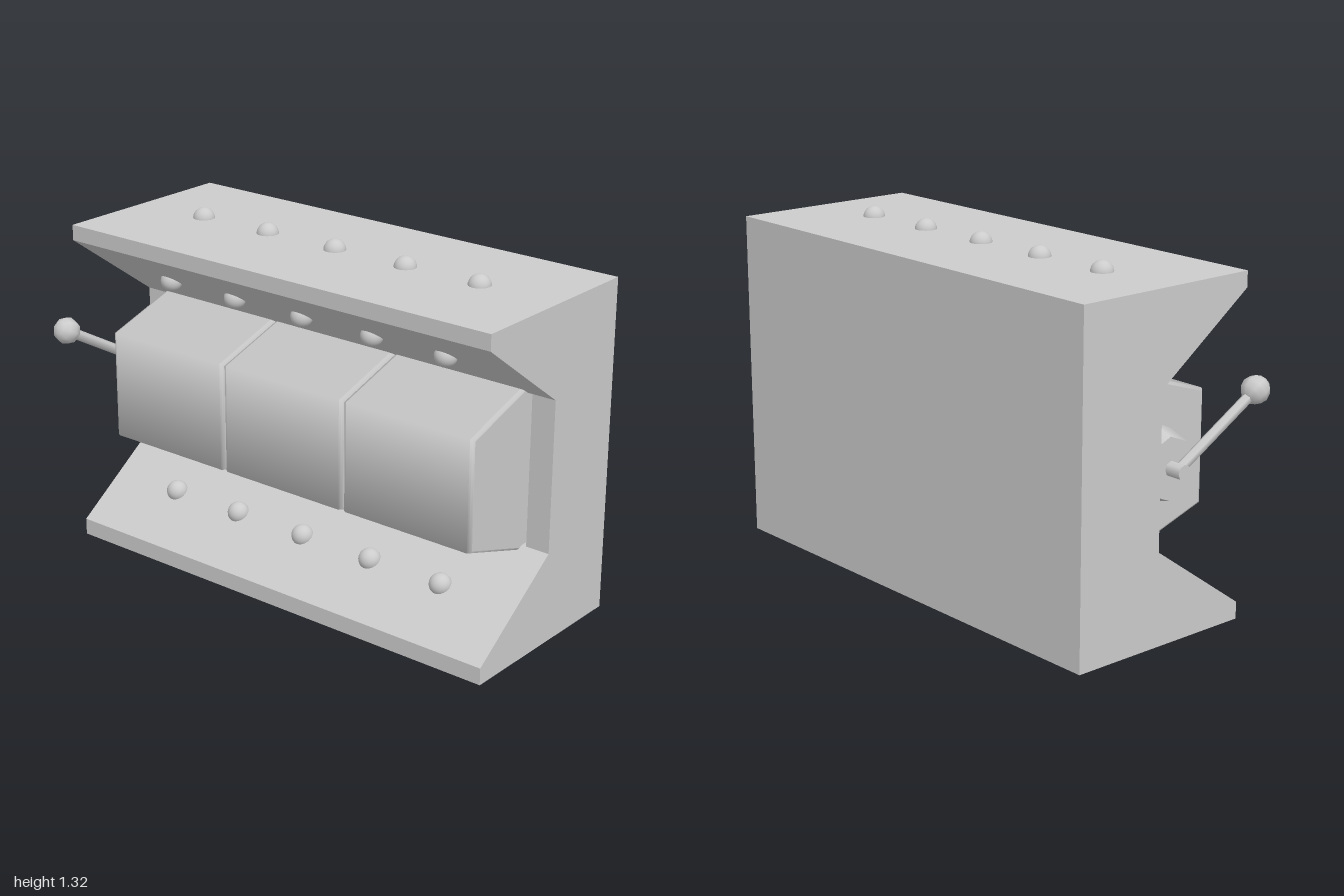
import * as THREE from 'three';

const material = new THREE.MeshStandardMaterial({ color: 0xcccccc });

export function createModel() {
  const model = new THREE.Group();
  const add = (name, geometry, x = 0, y = 0, z = 0) => {
    const mesh = new THREE.Mesh(geometry, material);
    mesh.name = name;
    mesh.position.set(x, y, z);
    model.add(mesh);
    return mesh;
  };

  // Cabinet slices: a side profile (z, y) extruded from x0 to x1
  const cabinetSlice = (name, x0, x1, recess = []) => {
    const outline = [
      [-0.42, 0], [0.345, 0], [0.345, 0.065], [-0.055, 0.35],
      ...recess,
      [-0.055, 0.93], [0.345, 1.22], [0.345, 1.28], [-0.42, 1.28],
    ].map(([z, y]) => new THREE.Vector2(z, y));
    const geometry = new THREE.ExtrudeGeometry(new THREE.Shape(outline), {
      depth: x1 - x0, bevelEnabled: false,
    });
    geometry.rotateY(-Math.PI / 2);
    add(name, geometry, x1);
  };
  cabinetSlice('cabinetRightEnd', -0.915, -0.83);
  cabinetSlice('cabinetMiddle', -0.83, 0.905, [[-0.4, 0.35], [-0.4, 0.93]]);
  cabinetSlice('cabinetLeftEnd', 0.905, 1);

  // Three five-sided reels with softened rims, turning on the x axis
  const axisY = 0.642, axisZ = -0.03;
  const half = 0.28, radius = 0.36, bevel = 0.014;
  const rim = [
    [0, -half], [radius - bevel, -half], [radius - bevel, -half],
    [radius - 0.004, -half + 0.005], [radius, -half + bevel], [radius, -half + bevel],
  ];
  const profile = [...rim, ...rim.slice().reverse().map(([r, h]) => [r, -h])]
    .map(([r, h]) => new THREE.Vector2(r, h));
  const reel = new THREE.LatheGeometry(profile, 5, Math.PI / 5);
  reel.rotateZ(-Math.PI / 2);
  for (let i = 0; i < 3; i++) add('reel' + (i + 1), reel, -0.525 + i * 0.565, axisY, axisZ);

  // Rows of bulbs on the top and on both sloping faces
  const bulb = new THREE.SphereGeometry(0.042, 20, 14);
  const rows = [['topBulb', 1.278, -0.042], ['upperBulb', 1.075, 0.145], ['lowerBulb', 0.208, 0.145]];
  for (const [name, y, z] of rows) {
    for (let i = 0; i < 5; i++) add(name, bulb, -0.6 + i * 0.32, y, z);
  }

  // Tapered crank hub and its axle stub
  const hub = new THREE.CylinderGeometry(0.145, 0.115, 0.105, 8);
  hub.rotateZ(-Math.PI / 2);
  add('crankHub', hub, -0.8625, axisY, axisZ + 0.02);
  const axle = new THREE.CylinderGeometry(0.028, 0.028, 0.07, 8);
  axle.rotateZ(Math.PI / 2);
  add('crankAxle', axle, -0.943, axisY, -0.005);

  // Crank arm rising forward to a faceted knob
  const start = new THREE.Vector3(-0.947, axisY, -0.005);
  const end = new THREE.Vector3(-0.947, 0.858, 0.37);
  const along = end.clone().sub(start);
  const middle = start.clone().lerp(end, 0.5);
  const arm = add('crankArm', new THREE.CylinderGeometry(0.02, 0.02, along.length(), 6), ...middle.toArray());
  arm.quaternion.setFromUnitVectors(new THREE.Vector3(0, 1, 0), along.normalize());
  const knob = add('crankKnob', new THREE.SphereGeometry(0.053, 8, 6), ...end.toArray());
  knob.quaternion.copy(arm.quaternion);

  return model;
}
